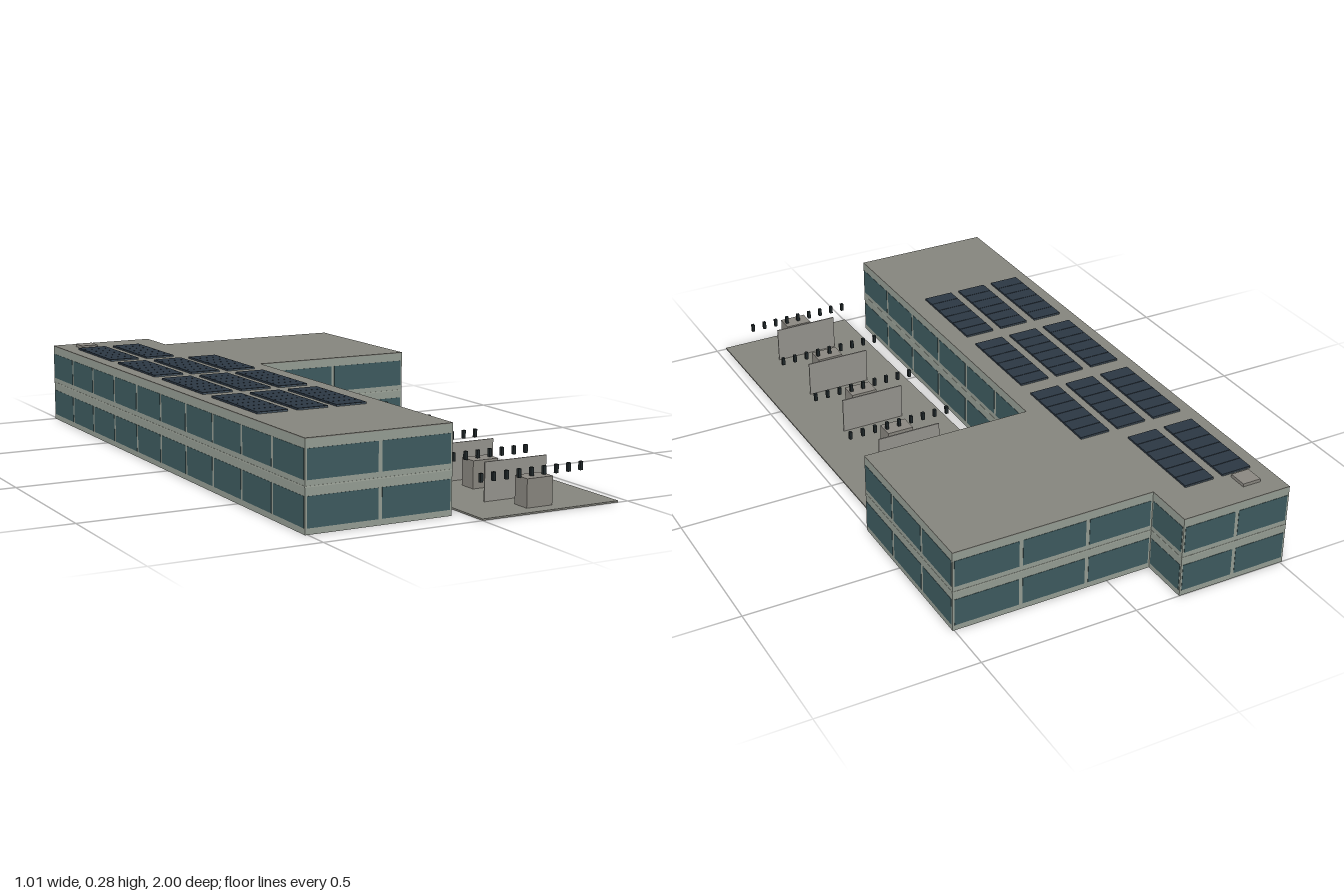
import * as THREE from 'three';

const mat = (color) => new THREE.MeshStandardMaterial({ color });
const wallMat = mat(0x9aa298), roofMat = mat(0x87877f), glassMat = mat(0x3f5d62);
const solarMat = mat(0x2c3844), cellLineMat = mat(0x4a5864), kioskMat = mat(0x8c8982);
const screenMat = mat(0x9a9892), postMat = mat(0x20282a), sillMat = mat(0xa6ada2);

// Box given by its lower and upper corners
function box(name, material, [x0, y0, z0], [x1, y1, z1]) {
  const mesh = new THREE.Mesh(new THREE.BoxGeometry(x1 - x0, y1 - y0, z1 - z0), material);
  mesh.position.set((x0 + x1) / 2, (y0 + y1) / 2, (z0 + z1) / 2);
  mesh.name = name;
  return mesh;
}

// Plan outline of [x, z] points raised from y0 to y1
function prism(name, material, plan, y0, y1) {
  const shape = new THREE.Shape(plan.map(([x, z]) => new THREE.Vector2(x, -z)));
  const geometry = new THREE.ExtrudeGeometry(shape, { depth: y1 - y0, bevelEnabled: false });
  geometry.rotateX(-Math.PI / 2).translate(0, y0, 0);
  const mesh = new THREE.Mesh(geometry, material);
  mesh.name = name;
  return mesh;
}

const named = (name) => {
  const group = new THREE.Group();
  group.name = name;
  return group;
};

// Corners of the building, each with the bay count of the wall that follows
const corners = [
  [-0.508, -1, 10], [-0.508, 0.912, 2], [-0.045, 0.912, 6], [-0.045, -0.275, 2],
  [0.505, -0.275, 3], [0.505, -0.84, 3], [-0.145, -0.84, 1], [-0.145, -1, 2],
];

function windows() {
  const group = named('windows');
  corners.forEach(([ax, az, bays], i) => {
    const [bx, bz] = corners[(i + 1) % corners.length];
    const length = Math.hypot(bx - ax, bz - az);
    const wall = named('wallGlazing');
    wall.position.set((ax + bx) / 2, 0, (az + bz) / 2);
    wall.rotation.y = Math.atan2(-(bz - az), bx - ax);
    const bay = length / bays;
    for (let b = 0; b < bays; b++) {
      const x0 = -length / 2 + b * bay + 0.006;
      for (const [y0, y1] of [[0.018, 0.106], [0.15, 0.236]]) {
        wall.add(box('window', glassMat, [x0, y0, -0.002], [x0 + bay - 0.012, y1, 0.001]));
      }
    }
    // Thin line between the storeys
    wall.add(box('floorLine', sillMat, [-length / 2, 0.13, -0.002], [length / 2, 0.134, 0.0008]));
    group.add(wall);
  });
  return group;
}

function solarArray() {
  const group = named('solarArray');
  const columns = [-0.465, -0.336, -0.208];
  [-0.865, -0.497, -0.13, 0.237].forEach((z, row) => {
    columns.slice(0, row === 0 ? 2 : 3).forEach((x) => {
      group.add(box('panelFrame', cellLineMat, [x, 0.264, z], [x + 0.098, 0.2692, z + 0.308]));
      // Six modules to a panel
      for (let i = 0; i < 6; i++) {
        const z0 = z + (i * 0.308) / 6;
        group.add(box('panelModule', solarMat,
          [x - 0.0005, 0.2645, z0 + 0.001], [x + 0.0985, 0.271, z0 + 0.308 / 6 - 0.001]));
      }
    });
  });
  return group;
}

function stalls() {
  const group = named('stalls');
  for (let i = 0; i < 5; i++) {
    const stall = named('stall');
    stall.position.z = -0.18 + i * 0.276;
    stall.add(box('screen', screenMat, [0.117, 0.004, -0.096], [0.331, 0.122, -0.092]));
    stall.add(box('counter', kioskMat, [0.179, 0.004, -0.03], [0.267, 0.09, 0.03]));
    // Row of nine small floating markers
    for (let p = 0; p < 9; p++) {
      const x = 0.042 + p * 0.043;
      stall.add(box('marker', postMat, [x - 0.005, 0.089, -0.005], [x + 0.005, 0.115, 0.005]));
    }
    group.add(stall);
  }
  return group;
}

export function createModel() {
  const model = named('building');
  const plan = corners.map(([x, z]) => [x, z]);
  model.add(prism('walls', wallMat, plan, 0, 0.262));
  model.add(prism('roof', roofMat, plan, 0.262, 0.265));
  model.add(windows());
  model.add(solarArray());
  model.add(box('roofHatch', kioskMat, [-0.447, 0.264, -0.94], [-0.387, 0.275, -0.88]));
  // Slightly skewed paved yard
  const yard = [[-0.018, -0.273], [0, 1], [0.466, 1], [0.457, -0.273]];
  model.add(prism('yard', roofMat, yard, 0, 0.005));
  model.add(stalls());
  return model;
}
